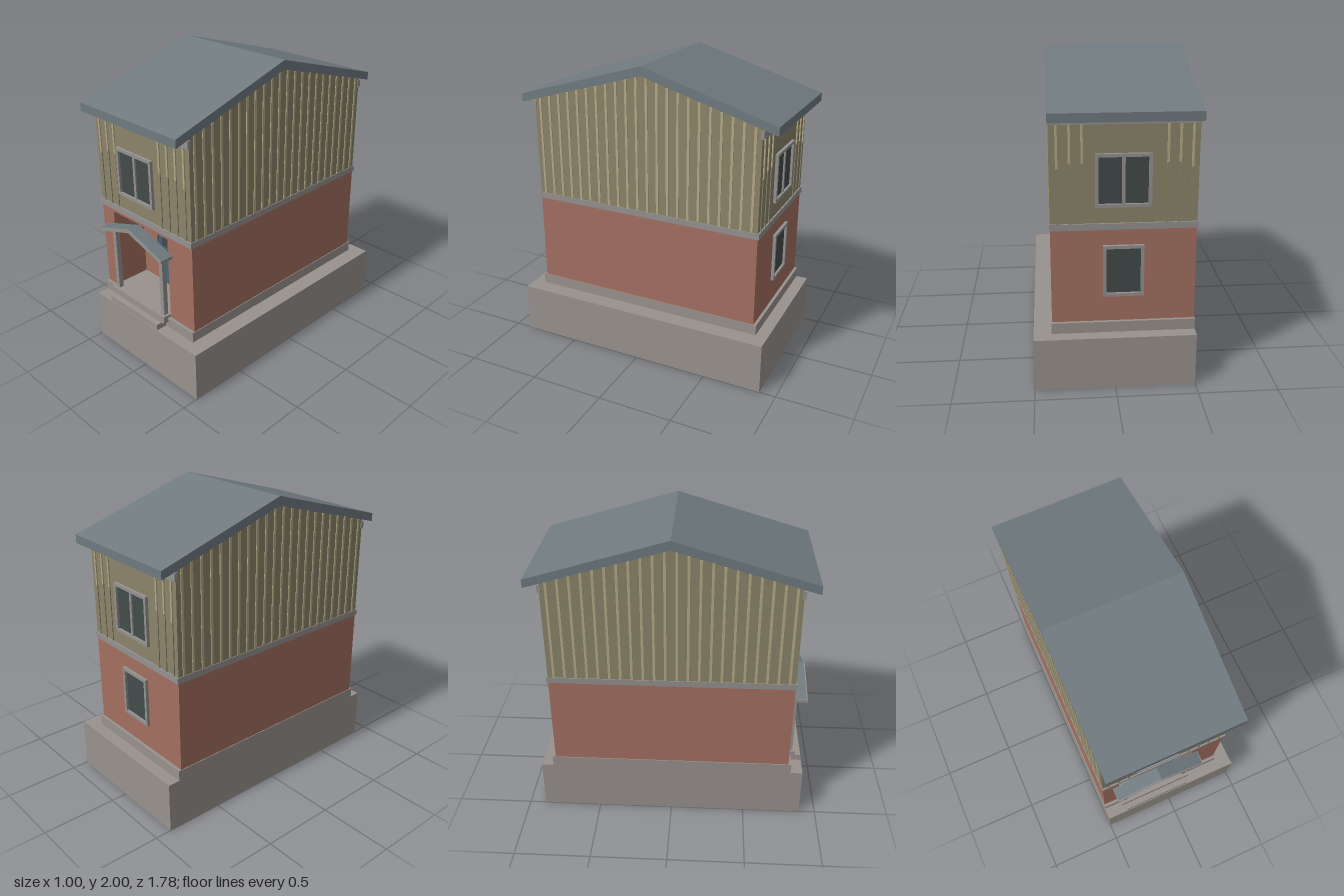
import * as THREE from 'three';

const mat = (name, color, side = THREE.FrontSide) => {
  const m = new THREE.MeshStandardMaterial({ color, side });
  m.name = name;
  return m;
};

export function createModel() {
  const concrete = mat('concrete', 0x98928d);
  const trim = mat('grey trim', 0x949290);
  const brick = mat('brick', 0xa37061);
  const siding = mat('olive siding', 0x8b846a);
  const batten = mat('pale batten', 0xb5aa86);
  const slate = mat('slate roof', 0x6f7a7f);
  const doorBlue = mat('door blue', 0x4a6680);
  const glass = mat('dark glass', 0x434b4b);

  const model = new THREE.Group();
  model.name = 'house';

  const add = (name, geometry, material, parent = model) => {
    const mesh = new THREE.Mesh(geometry, material);
    mesh.name = name;
    parent.add(mesh);
    return mesh;
  };
  // Box given by its two extreme corners
  const box = (name, material, x0, x1, y0, y1, z0, z1, parent) => {
    const g = new THREE.BoxGeometry(x1 - x0, y1 - y0, z1 - z0);
    g.translate((x0 + x1) / 2, (y0 + y1) / 2, (z0 + z1) / 2);
    return add(name, g, material, parent);
  };
  const extrude = (points, depth, hole) => {
    const shape = new THREE.Shape(points.map(p => new THREE.Vector2(...p)));
    if (hole) shape.holes.push(new THREE.Path(hole.map(p => new THREE.Vector2(...p))));
    return new THREE.ExtrudeGeometry(shape, { depth, bevelEnabled: false });
  };

  const L = -0.5, R = 0.39;          // outer sides
  const WL = -0.495, WR = 0.385;     // wall sides
  const wallZ = 0.79;
  const eaveUnder = z => 1.94 - 0.292 * Math.abs(z);

  // Plinth and foundation
  box('basePlinth', concrete, -0.5, 0.5, 0, 0.34, -0.89, 0.89);
  box('foundation', concrete, L, R, 0.34, 0.41, -0.81, 0.81);

  // Ground floor with a recessed porch cut into its plan
  const pL = -0.38, pR = 0.16, pBack = 0.55;
  const ground = extrude([
    [WL, -wallZ], [pL, -wallZ], [pL, -pBack], [pR, -pBack],
    [pR, -wallZ], [WR, -wallZ], [WR, wallZ], [WL, wallZ],
  ], 0.575);
  ground.rotateX(-Math.PI / 2).translate(0, 0.41, 0);
  add('groundFloorWalls', ground, brick);
  box('porchLintel', brick, WL, WR, 0.985, 1.01, -wallZ, wallZ);
  box('floorBand', trim, L, R, 1.01, 1.05, -0.8, 0.8);

  // Upper floor with gable ends on the long sides
  const upper = extrude([
    [-wallZ, 1.05], [wallZ, 1.05], [wallZ, eaveUnder(wallZ)], [0, 1.94], [-wallZ, eaveUnder(wallZ)],
  ], WR - WL);
  upper.rotateY(Math.PI / 2).translate(WL, 0, 0);
  add('upperFloorWalls', upper, siding);

  // Roof
  const roof = extrude([
    [-0.89, 1.68], [0, 1.94], [0.89, 1.68], [0.89, 1.735], [0, 2], [-0.89, 1.735],
  ], R - L);
  roof.rotateY(Math.PI / 2).translate(L, 0, 0);
  add('roof', roof, slate);

  // Battens on the gable sides
  const sideBattens = new THREE.Group();
  sideBattens.name = 'sideBattens';
  model.add(sideBattens);
  for (let i = 0; i < 22; i++) {
    const z = 0.75 - i * 0.0714;
    const top = eaveUnder(z) - 0.002;
    box('sideBatten', batten, WR, R, 1.05, top, z - 0.008, z + 0.008, sideBattens);
    box('sideBatten', batten, L, WL, 1.05, top, z - 0.008, z + 0.008, sideBattens);
  }

  // Battens and eave trim on front and back
  for (const s of [1, -1]) {
    const face = new THREE.Group();
    face.name = s > 0 ? 'frontBattens' : 'backBattens';
    model.add(face);
    const span = (a, b) => [Math.min(s * a, s * b), Math.max(s * a, s * b)];
    for (const x of [-0.455, -0.382, -0.31, 0.12, 0.193, 0.266, 0.34]) {
      if (s < 0 && x === 0.12) continue;
      const split = Math.abs(x + 0.055) > 0.35 ? 1.39 : 1.42;
      box('battenTop', batten, x - 0.007, x + 0.007, split, 1.65, ...span(wallZ, 0.798), face);
      box('battenLower', siding, x - 0.007, x + 0.007, 1.05, split, ...span(wallZ, 0.796), face);
    }
    box('eaveTrim', trim, L, R, 1.65, 1.7, ...span(0.78, 0.802));
  }

  // Framed windows
  const addWindow = (name, cx, cy, w, h, s, mullion) => {
    const g = new THREE.Group();
    g.name = name;
    const a = w / 2, b = h / 2, t = 0.02;
    add('windowFrame', extrude(
      [[-a, -b], [a, -b], [a, b], [-a, b]], 0.022,
      [[-a + t, -b + t], [-a + t, b - t], [a - t, b - t], [a - t, -b + t]]), trim, g);
    box('windowGlass', glass, -a + t, a - t, -b + t, b - t, 0, 0.006, g);
    if (mullion) box('windowMullion', trim, -0.01, 0.01, -b + t, b - t, 0, 0.016, g);
    g.position.set(cx, cy, s * (wallZ - 0.002));
    if (s < 0) g.rotation.y = Math.PI;
    model.add(g);
  };
  addWindow('frontWindow', -0.113, 1.315, 0.335, 0.325, 1, true);
  addWindow('backUpperWindow', -0.05, 1.315, 0.335, 0.325, -1, true);
  addWindow('backLowerWindow', -0.053, 0.745, 0.25, 0.33, -1, false);

  // Porch floor, steps and posts
  box('porchFloor', concrete, pL, 0.155, 0.38, 0.43, pBack, 0.845);
  box('lowerStep', concrete, -0.355, 0.13, 0.34, 0.38, 0.8, 0.885);
  for (const x of [-0.345, 0.122])
    box('porchPost', trim, x - 0.016, x + 0.016, 0.43, 0.895, 0.793, 0.825);

  // Gabled canopy over the porch: slate slopes with a grey front edge
  const cx = -0.11;
  const chevron = [[-0.31, 0.865], [0, 0.962], [0.31, 0.865], [0.31, 0.885], [0, 0.985], [-0.31, 0.885]];
  add('canopyRoof', extrude(chevron, 0.089).translate(cx, 0, wallZ), slate);
  add('canopyFascia', extrude(chevron, 0.006).translate(cx, 0, 0.879), trim);
  for (const s of [1, -1])
    box('canopyEdge', trim, cx + s * 0.311 - 0.002, cx + s * 0.311 + 0.002, 0.865, 0.887, wallZ, 0.885);

  // Front door in the recess
  box('door', doorBlue, -0.212, -0.005, 0.43, 0.9, pBack, pBack + 0.012);
  for (const x of [-0.212, -0.005])
    box('doorJamb', doorBlue, x - 0.005, x + 0.005, 0.43, 0.9, pBack, pBack + 0.018);
  box('doorGlass', glass, -0.175, -0.05, 0.72, 0.855, pBack + 0.01, pBack + 0.016);

  return model;
}
